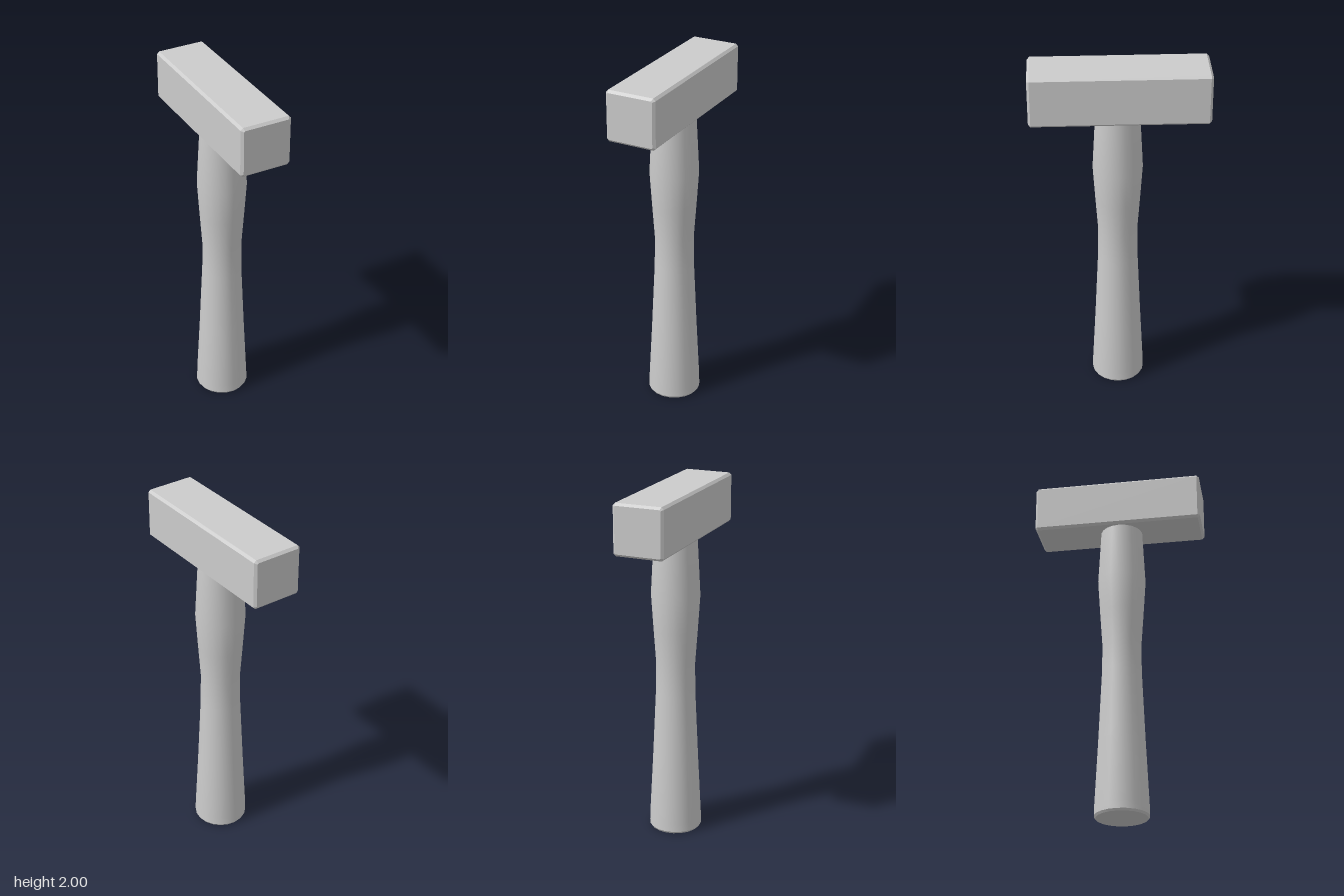
import * as THREE from 'three';
import { toCreasedNormals } from 'three/addons/utils/BufferGeometryUtils.js';

const material = new THREE.MeshStandardMaterial({ color: 0xcccccc });

// Box with flat chamfers along all edges, centred on its origin
function chamferedBox(width, height, depth, c) {
  const x = width / 2, y = height / 2;
  const outline = new THREE.Shape([
    [x - c, -y], [x, c - y], [x, y - c], [x - c, y],
    [c - x, y], [-x, y - c], [-x, c - y], [c - x, -y],
  ].map(([px, py]) => new THREE.Vector2(px, py)));
  const geometry = new THREE.ExtrudeGeometry(outline, {
    depth: depth - 2 * c, bevelEnabled: true, bevelSegments: 1,
    bevelThickness: c, bevelSize: c, bevelOffset: -c,
  });
  return geometry.translate(0, 0, c - depth / 2);
}

export function createModel() {
  const group = new THREE.Group();
  group.name = 'hammer';

  // Block head, lying front to back
  const head = new THREE.Mesh(chamferedBox(0.284, 0.28, 0.96, 0.013), material);
  head.name = 'head';
  head.position.y = 1.86;
  group.add(head);

  // Turned handle: flared foot, slim waist, swelling below the head
  const profile = [
    [0, 0], [0.142, 0], [0.15, 0.012], [0.149, 0.06], [0.13, 0.43],
    [0.112, 0.83], [0.11, 1.0], [0.124, 1.2], [0.137, 1.4], [0.119, 1.74],
  ].map(([r, y]) => new THREE.Vector2(r, y));
  const handle = new THREE.Mesh(
    toCreasedNormals(new THREE.LatheGeometry(profile, 20), 0.5), material);
  handle.name = 'handle';
  handle.position.z = 0.008;
  group.add(handle);

  return group;
}
